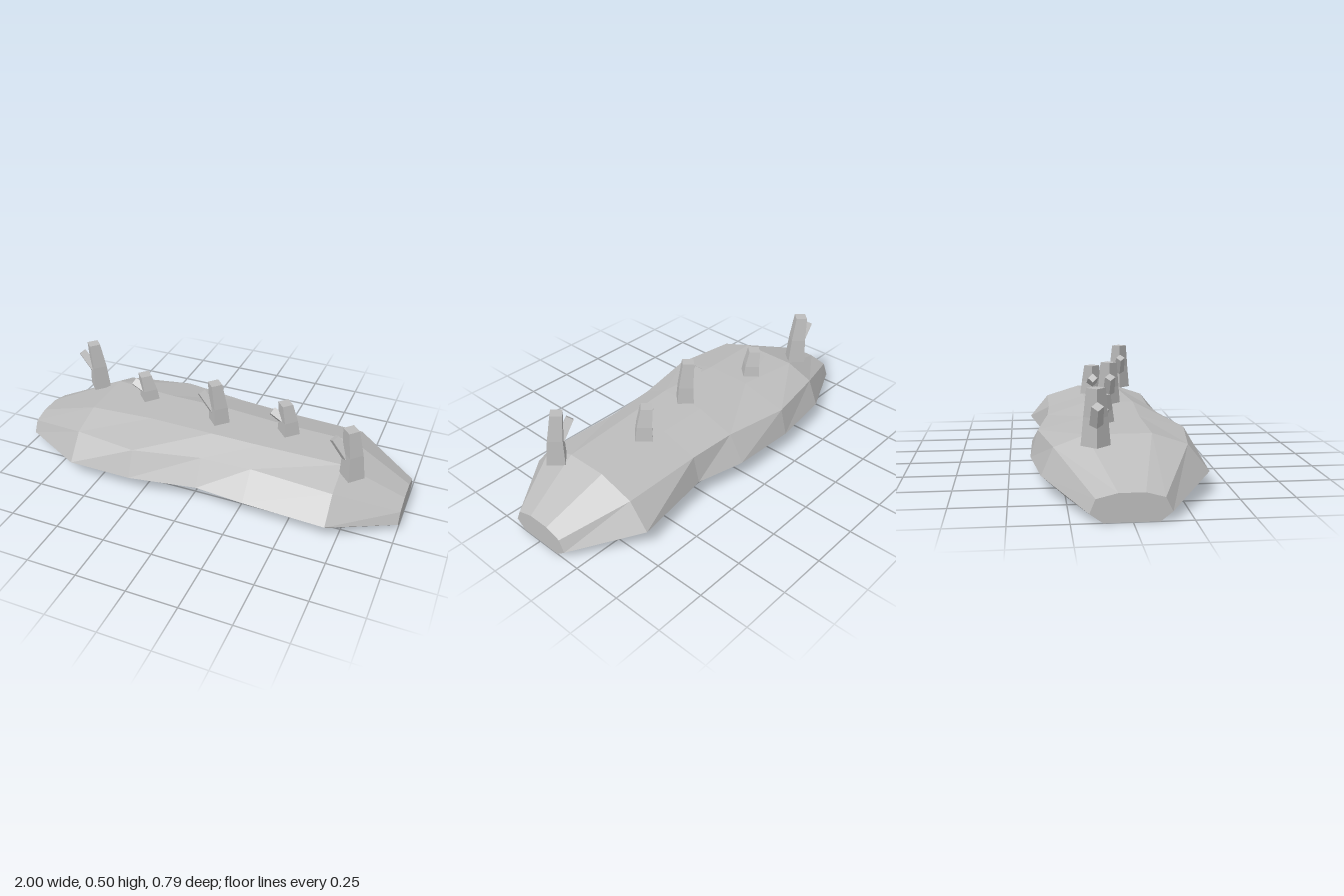
import * as THREE from 'three';

const grey = new THREE.MeshStandardMaterial({ color: 0xbcbcbc, flatShading: true });
grey.name = 'stone grey';

// Cross-sections along x: [x, heights (wide, upper, top), z of front bottom, wide, upper, top, then back top, upper, wide, bottom]
const sections = [
  [-1.0, [0.04, 0.1, 0.122], [0.11, 0.16, 0.13, 0.05, -0.06, -0.15, -0.175, -0.12]],
  [-0.63, [0.095, 0.222, 0.275], [0.26, 0.39, 0.29, 0.13, -0.16, -0.3, -0.355, -0.25]],
  [-0.3, [0.095, 0.226, 0.284], [0.26, 0.392, 0.335, 0.12, -0.12, -0.36, -0.397, -0.27]],
  [0.04, [0.095, 0.228, 0.29], [0.22, 0.335, 0.265, 0.135, -0.11, -0.305, -0.385, -0.26]],
  [0.29, [0.093, 0.222, 0.28], [0.23, 0.355, 0.25, 0.125, -0.1, -0.29, -0.325, -0.22]],
  [0.7, [0.09, 0.212, 0.267], [0.26, 0.37, 0.27, 0.105, -0.105, -0.285, -0.385, -0.27]],
  [1.0, [0.04, 0.097, 0.122], [0.11, 0.16, 0.133, 0.05, -0.06, -0.142, -0.17, -0.12]],
];

function bodyGeometry() {
  const positions = [];
  const index = [];
  const n = 8;
  for (const [x, [wide, upper, top], zs] of sections) {
    const ys = [0, wide, upper, top, top, upper, wide, 0];
    zs.forEach((z, k) => positions.push(x, ys[k], z));
  }
  for (let i = 0; i < sections.length - 1; i++) {
    for (let k = 0; k < n; k++) {
      const a = i * n + k, b = i * n + (k + 1) % n;
      index.push(a, a + n, b + n, a, b + n, b);
    }
  }
  // End caps
  const last = (sections.length - 1) * n;
  for (let k = 1; k < n - 1; k++) {
    index.push(0, k, k + 1);
    index.push(last, last + k + 1, last + k);
  }
  const g = new THREE.BufferGeometry();
  g.setAttribute('position', new THREE.Float32BufferAttribute(positions, 3));
  g.setIndex(index);
  g.computeVertexNormals();
  return g;
}

// Four-sided tapering stump that curves towards -x as it rises
function stumpGeometry(height) {
  const g = new THREE.CylinderGeometry(0.041, 0.064, height, 4, 2);
  const p = g.attributes.position;
  for (let i = 0; i < p.count; i++) {
    const t = p.getY(i) / height + 0.5;
    p.setX(i, p.getX(i) * 0.94 - 0.025 * t * t);
  }
  g.translate(0, height / 2, 0);
  g.computeVertexNormals();
  return g;
}

function part(geometry, name) {
  const m = new THREE.Mesh(geometry, grey);
  m.name = name;
  return m;
}

// Stump with a short side branch; start and tip are [x, y] from the foot of the stump
function branchedStump(x, y, z, height, start, tip) {
  const group = new THREE.Group();
  group.name = 'branchedStump';
  group.add(part(stumpGeometry(height), 'stump'));
  const a = new THREE.Vector3(...start, 0);
  const b = new THREE.Vector3(...tip, 0);
  const branch = part(new THREE.CylinderGeometry(0.026, 0.03, a.distanceTo(b), 4), 'branch');
  branch.position.copy(a).lerp(b, 0.5);
  branch.quaternion.setFromUnitVectors(new THREE.Vector3(0, 1, 0), b.sub(a).normalize());
  group.add(branch);
  group.position.set(x, y, z);
  return group;
}

export function createModel() {
  const model = new THREE.Group();
  model.name = 'stumpedRock';
  model.add(part(bodyGeometry(), 'body'));

  // Tall stumps
  for (const [x, z] of [[-0.73, -0.125], [0.03, 0.007], [0.755, 0.145]]) {
    model.add(branchedStump(x, 0.25, z, 0.25, [-0.01, 0.07], [-0.1, 0.185]));
  }
  // Short stumps
  model.add(branchedStump(-0.4, 0.26, -0.07, 0.153, [-0.01, 0.055], [-0.09, 0.095]));
  model.add(branchedStump(0.38, 0.26, -0.05, 0.176, [-0.01, 0.07], [-0.092, 0.116]));
  return model;
}
